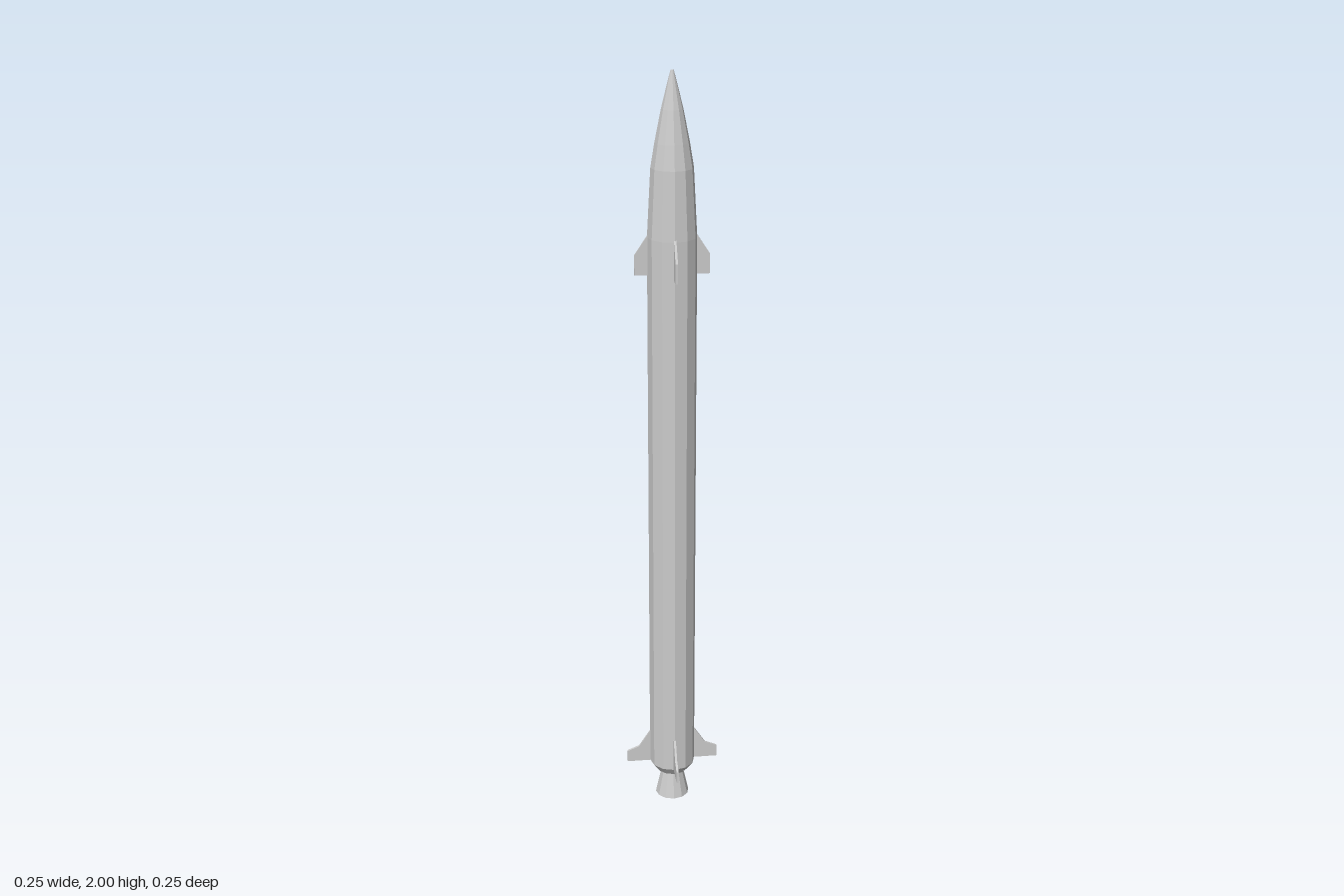
import * as THREE from 'three';

const SIDES = 12;

export function createModel() {
  const model = new THREE.Group();
  const material = new THREE.MeshStandardMaterial({ color: 0xcccccc, flatShading: true });
  const openMaterial = material.clone();
  openMaterial.side = THREE.DoubleSide;

  // Faceted solid of revolution from [radius, y] pairs, bottom to top
  function lathe(name, profile, mat = material) {
    const points = profile.map(([r, y]) => new THREE.Vector2(r, y));
    const mesh = new THREE.Mesh(new THREE.LatheGeometry(points, SIDES), mat);
    mesh.name = name;
    model.add(mesh);
  }

  // Four flat fins around the body from one [radius, y] outline
  function finSet(name, outline, thickness) {
    const set = new THREE.Group();
    set.name = name;
    const shape = new THREE.Shape(outline.map(([r, y]) => new THREE.Vector2(r, y)));
    const geometry = new THREE.ExtrudeGeometry(shape, { depth: thickness, bevelEnabled: false });
    geometry.translate(0, 0, -thickness / 2);
    for (let i = 0; i < 4; i++) {
      const fin = new THREE.Mesh(geometry, material);
      fin.name = 'fin';
      fin.rotation.y = (i * Math.PI) / 2;
      set.add(fin);
    }
    model.add(set);
  }

  // Main tube with a chamfered tail
  lathe('body', [[0, 0.08], [0.044, 0.08], [0.062, 0.105], [0.062, 1.6]]);

  // Tapered shoulder and pointed nose with a tiny flat tip
  lathe('noseCone', [
    [0.062, 1.6], [0.053, 1.77], [0.043, 1.83], [0.027, 1.91], [0.012, 1.97], [0.004, 2], [0, 2],
  ]);

  // Hollow engine bell, outer wall then inner wall
  lathe('nozzle', [[0, 0.07], [0.022, 0.07], [0.037, 0], [0.046, 0], [0.028, 0.082]].reverse(), openMaterial);

  // Small steering fins near the nose and swept fins at the tail
  finSet('frontFins', [[0.05, 1.505], [0.094, 1.505], [0.094, 1.555], [0.061, 1.605], [0.05, 1.605]], 0.006);
  finSet('tailFins', [[0.05, 0.105], [0.125, 0.105], [0.125, 0.138], [0.092, 0.152], [0.061, 0.2], [0.05, 0.2]], 0.006);

  return model;
}
